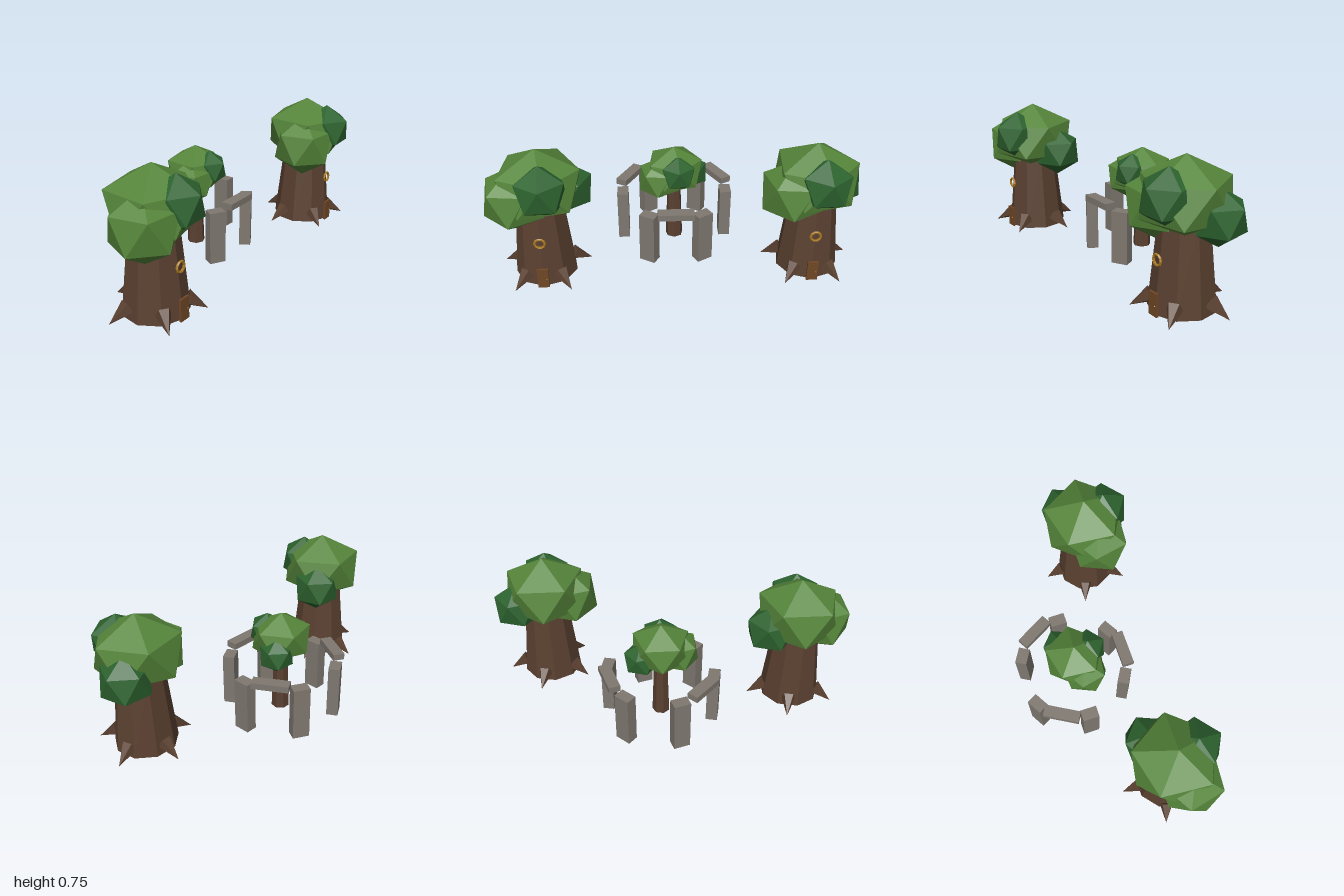
import * as THREE from 'three';

const flat = (name, color, extra = {}) => {
  const m = new THREE.MeshStandardMaterial({ color, flatShading: true, ...extra });
  m.name = name;
  return m;
};
const rad = THREE.MathUtils.degToRad;

export function createModel() {
  const bark = flat('bark brown', 0x5a4030);
  const leafLight = flat('light leaf green', 0x55853a);
  const leafDark = flat('dark leaf green', 0x2d632f);
  const doorWood = flat('door wood', 0x6f4726);
  const gold = flat('gold', 0xaa7a22);
  const stone = flat('stone grey', 0x7f7870);

  const model = new THREE.Group();
  model.name = 'forestShrine';

  const add = (parent, name, geometry, material, x = 0, y = 0, z = 0) => {
    const mesh = new THREE.Mesh(geometry, material);
    mesh.name = name;
    mesh.position.set(x, y, z);
    parent.add(mesh);
    return mesh;
  };

  // Leaf clump: icosahedron standing on a vertex, turned by yaw degrees
  function clump(parent, name, material, [x, y, z], r, ry, yaw) {
    const geo = new THREE.IcosahedronGeometry(1, 0);
    geo.rotateZ(-Math.atan(2 / (1 + Math.sqrt(5))));
    geo.rotateY(rad(yaw));
    geo.scale(r, ry, r);
    add(parent, name, geo, material, x, y, z);
  }

  // Crown of four clumps, centred on the main one
  function crown(parent, y, scale) {
    const g = new THREE.Group();
    g.name = 'crown';
    g.position.y = y;
    g.scale.setScalar(scale);
    clump(g, 'mainLeaves', leafLight, [0, 0, 0], 0.25, 0.203, 67);
    clump(g, 'rightLeaves', leafLight, [-0.12, -0.055, 0.05], 0.185, 0.185, 12);
    clump(g, 'frontLeaves', leafDark, [0.027, 0.023, 0.12], 0.147, 0.147, 273);
    clump(g, 'leftLeaves', leafDark, [0.143, -0.075, -0.08], 0.143, 0.143, 85);
    parent.add(g);
  }

  // Large house tree with roots, door and ring
  function houseTree(name, x, z) {
    const tree = new THREE.Group();
    tree.name = name;
    tree.position.set(x, 0, z);
    add(tree, 'trunk', new THREE.CylinderGeometry(0.124, 0.17, 0.45, 9), bark, 0, 0.225, 0);

    // Roots: cones leaning outward to the ground
    const from = new THREE.Vector3(0, 0.06, 0.15);
    const to = new THREE.Vector3(0, 0, 0.255);
    const dir = to.clone().sub(from);
    for (let i = 0; i < 5; i++) {
      const pivot = new THREE.Group();
      pivot.name = 'rootPivot';
      pivot.rotation.y = Math.PI + (i * Math.PI * 2) / 5;
      const root = add(pivot, 'root', new THREE.ConeGeometry(0.043, dir.length(), 5), bark);
      root.position.copy(from).add(to).multiplyScalar(0.5);
      root.quaternion.setFromUnitVectors(new THREE.Vector3(0, 1, 0), dir.clone().normalize());
      tree.add(pivot);
    }

    add(tree, 'door', new THREE.BoxGeometry(0.06, 0.118, 0.012), doorWood, 0, 0.059, 0.176);
    add(tree, 'doorKnob', new THREE.IcosahedronGeometry(0.004, 0), gold, 0.019, 0.055, 0.183);
    add(tree, 'goldRing', new THREE.TorusGeometry(0.027, 0.007, 5, 10), gold, 0, 0.273, 0.159);
    crown(tree, 0.545, 1);
    model.add(tree);
  }
  houseTree('rightTree', -0.71, 0.18);
  houseTree('leftTree', 0.74, 0.18);

  // Small tree in the middle of the stone circle
  const small = new THREE.Group();
  small.name = 'smallTree';
  small.position.set(0.01, 0, -0.12);
  add(small, 'smallTrunk', new THREE.CylinderGeometry(0.036, 0.05, 0.4, 7), bark, 0, 0.2, 0);
  crown(small, 0.44, 0.7);
  model.add(small);

  // Stone circle: six pillars and three lintels; angle runs from +z towards +x
  const circle = new THREE.Group();
  circle.name = 'stoneCircle';
  circle.position.set(0.01, 0, -0.13);
  const place = (name, angle, width, height, y) => {
    const a = rad(angle), R = 0.296;
    const block = add(circle, name, new THREE.BoxGeometry(width, height, 0.064), stone,
      R * Math.sin(a), y, R * Math.cos(a));
    block.rotation.y = a;
  };
  for (let a = 30; a < 360; a += 60) place('pillar', a, 0.092, 0.297, 0.1485);
  for (const a of [0, 120, 240]) place('lintel', a, 0.2, 0.036, 0.315);
  model.add(circle);

  return model;
}
